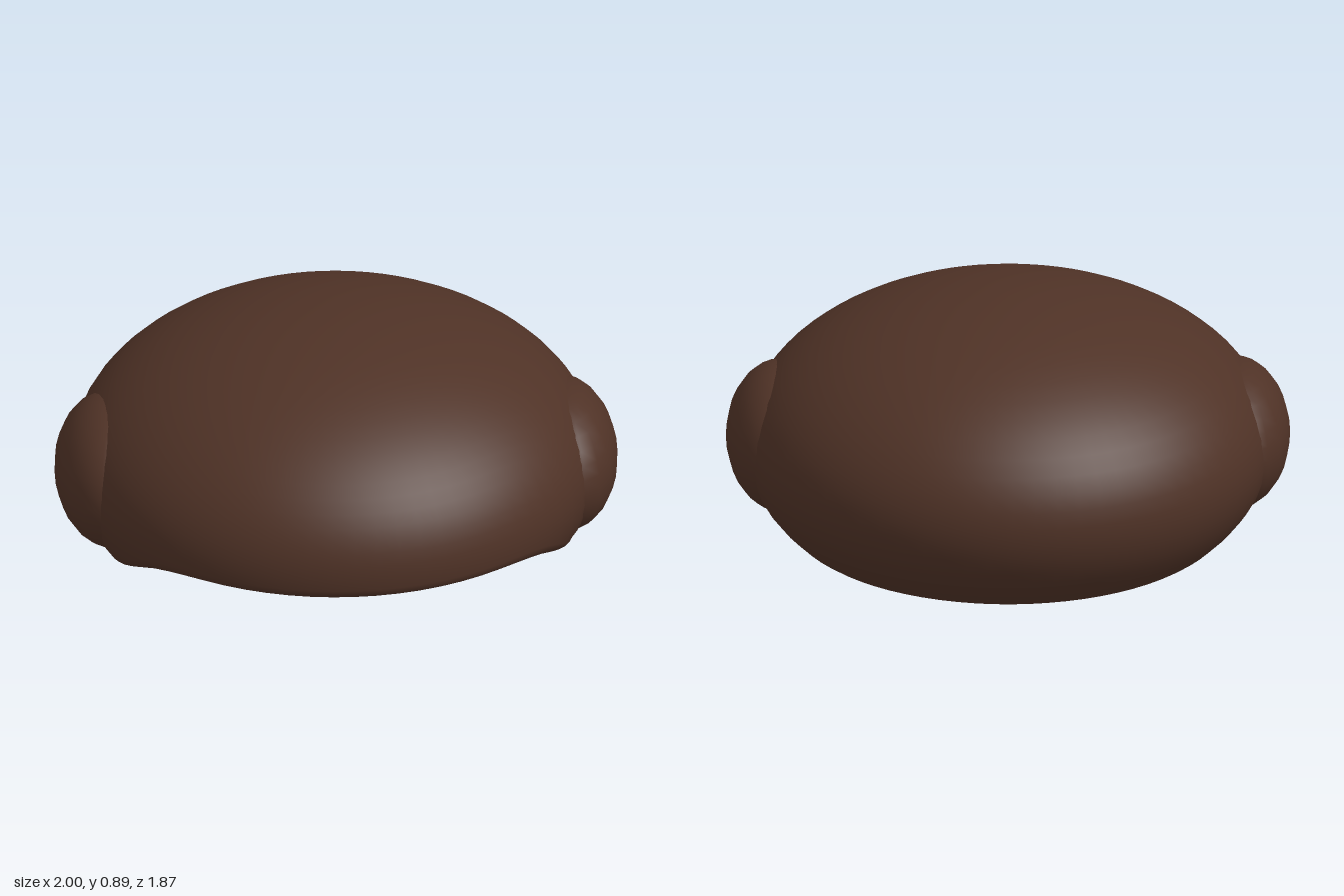
import * as THREE from 'three';
import { mergeVertices } from 'three/addons/utils/BufferGeometryUtils.js';

const CENTER_Y = 0.34;
const OUTER = { r: 0.935, h: 0.55 };
const INNER = { r: 0.83, h: 0.45 };

// Height of the lower rim along z: flat at the back, sweeping up to the front opening
const RIM = [[-1, 0], [0.07, 0], [0.13, 0.015], [0.3, 0.095], [0.5, 0.195], [0.6, 0.24], [0.68, 0.26], [0.76, 0.265], [1, 0.265]];
function rimHeight(z) {
  const i = Math.max(1, RIM.findIndex((p) => p[0] >= z));
  const [z0, y0] = RIM[i - 1], [z1, y1] = RIM[i];
  return THREE.MathUtils.mapLinear(z, z0, z1, y0, y1);
}

// Point on an ellipsoid at azimuth a and angle t from the top
function onShell(s, a, t) {
  const r = s.r * Math.sin(t);
  return new THREE.Vector3(r * Math.sin(a), CENTER_Y + s.h * Math.cos(t), r * Math.cos(a));
}

// Angle from the top at which the ellipsoid meets the rim
function rimAngle(s, a) {
  let lo = 0.5, hi = 2.6;
  for (let k = 0; k < 30; k++) {
    const mid = (lo + hi) / 2;
    const p = onShell(s, a, mid);
    if (p.y > rimHeight(p.z)) lo = mid; else hi = mid;
  }
  return lo;
}

// One meridian: over the outside, round the rim, back up the inside
function meridian(a) {
  const pts = [];
  const to = rimAngle(OUTER, a), ti = rimAngle(INNER, a);
  const steps = 20, bevel = 0.07;
  for (let i = 0; i <= steps; i++) pts.push(onShell(OUTER, a, (to - bevel) * i / steps));
  const o = onShell(OUTER, a, to), n = onShell(INNER, a, ti);
  const outerTurn = new THREE.QuadraticBezierCurve3(pts[steps], o, o.clone().lerp(n, 0.3));
  const innerTurn = new THREE.QuadraticBezierCurve3(o.clone().lerp(n, 0.7), n, onShell(INNER, a, ti - bevel));
  pts.push(...outerTurn.getPoints(4).slice(1), ...innerTurn.getPoints(4));
  for (let i = steps - 1; i >= 0; i--) pts.push(onShell(INNER, a, (ti - bevel) * i / steps));
  return pts;
}

function shellGeometry(segments) {
  const positions = [], index = [];
  let n = 0;
  for (let j = 0; j < segments; j++) {
    const pts = meridian(j / segments * Math.PI * 2);
    n = pts.length;
    pts.forEach((p) => positions.push(p.x, p.y, p.z));
  }
  for (let j = 0; j < segments; j++) {
    const a = j * n, b = ((j + 1) % segments) * n;
    for (let i = 0; i < n - 1; i++) {
      if (i < n - 2) index.push(a + i, a + i + 1, b + i + 1);
      if (i > 0) index.push(a + i, b + i + 1, b + i);
    }
  }
  let g = new THREE.BufferGeometry();
  g.setAttribute('position', new THREE.Float32BufferAttribute(positions, 3));
  g.setIndex(index);
  g = mergeVertices(g, 1e-5);
  g.computeVertexNormals();
  return g;
}

export function createModel() {
  const model = new THREE.Group();
  model.name = 'hairCap';
  const material = new THREE.MeshStandardMaterial({ color: 0x4f3226, side: THREE.DoubleSide });

  // Hollow cap with a raised front opening
  const shell = new THREE.Mesh(shellGeometry(72), material);
  shell.name = 'capShell';
  model.add(shell);

  // Rounded side buns that pass through the shell wall
  for (const side of [1, -1]) {
    const bun = new THREE.Mesh(new THREE.SphereGeometry(1, 20, 16), material);
    bun.name = side > 0 ? 'leftBun' : 'rightBun';
    bun.scale.set(0.2, 0.26, 0.34);
    bun.position.set(side * 0.8, 0.345, 0.04);
    model.add(bun);
  }
  return model;
}
